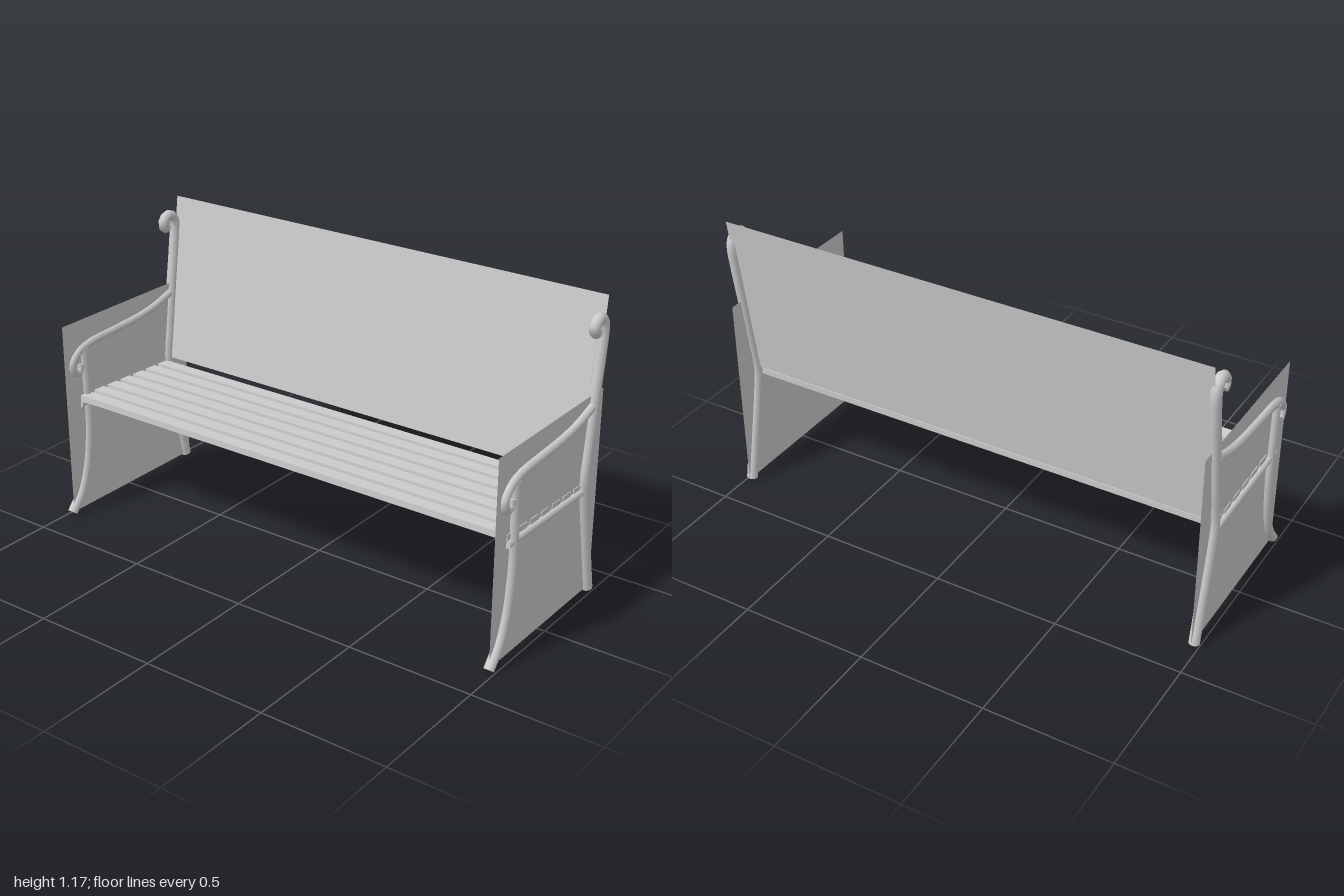
import * as THREE from 'three';
import { mergeGeometries } from 'three/addons/utils/BufferGeometryUtils.js';

const SIDE_X = 0.98;

// Smooth round bar through [z, y] points, closed at both ends
function bar(points, radius, segments) {
  const curve = new THREE.CatmullRomCurve3(points.map(([z, y]) => new THREE.Vector3(0, y, z)));
  const parts = [new THREE.TubeGeometry(curve, segments, radius, 10)];
  for (const t of [0, 1]) {
    const dir = curve.getTangentAt(t).multiplyScalar(t ? 1 : -1);
    const cap = new THREE.CircleGeometry(radius, 10);
    cap.applyQuaternion(new THREE.Quaternion().setFromUnitVectors(new THREE.Vector3(0, 0, 1), dir));
    const p = curve.getPointAt(t);
    cap.translate(p.x, p.y, p.z);
    parts.push(cap);
  }
  return mergeGeometries(parts);
}

export function createModel() {
  const bench = new THREE.Group();
  bench.name = 'bench';
  const grey = new THREE.MeshStandardMaterial({ color: 0xcccccc, side: THREE.DoubleSide });
  grey.name = 'light grey';

  const add = (name, geometry, parent = bench) => {
    const mesh = new THREE.Mesh(geometry, grey);
    mesh.name = name;
    parent.add(mesh);
    return mesh;
  };

  // Bars of one end frame, ending in scrolls at the back top and arm front
  const backPost = bar([
    [-0.35, 0.018], [-0.31, 0.21], [-0.27, 0.41], [-0.259, 0.5], [-0.277, 0.645], [-0.3, 0.815],
    [-0.323, 0.97], [-0.332, 1.06], [-0.322, 1.095], [-0.295, 1.108], [-0.27, 1.095],
    [-0.264, 1.07], [-0.282, 1.055],
  ], 0.0215, 60);
  const frontLeg = bar([
    [0.352, 0.02], [0.297, 0.09], [0.253, 0.21], [0.231, 0.38], [0.231, 0.49], [0.237, 0.7],
  ], 0.02, 30);
  const armrest = bar([
    [-0.28, 0.778], [-0.19, 0.75], [-0.09, 0.732], [0.08, 0.72], [0.2, 0.712], [0.265, 0.692],
    [0.304, 0.647], [0.286, 0.607], [0.263, 0.615], [0.257, 0.64],
  ], 0.018, 50);
  const seatRail = bar([[0.27, 0.47], [-0.25, 0.456]], 0.0145, 1);

  // Flat end panel in the plane of the frame
  const endPanel = new THREE.PlaneGeometry(0.717, 0.8);
  endPanel.rotateY(Math.PI / 2);
  endPanel.translate(0, 0.42, -0.0125);

  for (const side of [-1, 1]) {
    const frame = new THREE.Group();
    frame.name = side > 0 ? 'leftEndFrame' : 'rightEndFrame';
    frame.position.x = side * SIDE_X;
    bench.add(frame);
    add('backPost', backPost, frame);
    add('frontLeg', frontLeg, frame);
    add('armrest', armrest, frame);
    add('seatRail', seatRail, frame);
    add('endPanel', endPanel, frame).position.x = -side * 0.003;
  }

  // Seat slats, dropping slightly towards the back
  const slat = new THREE.BoxGeometry(2 * SIDE_X, 0.025, 0.055);
  for (let i = 0; i < 7; i++) {
    const mesh = add('seatSlat', slat);
    mesh.position.set(0, 0.494 - i * 0.0031, 0.241 - i * 0.0767);
    mesh.rotation.x = -0.04;
  }

  // Backrest sheet leaning backwards
  const rise = 0.675, lean = 0.095;
  const backrest = add('backrest', new THREE.PlaneGeometry(2 * SIDE_X, Math.hypot(rise, lean)));
  backrest.position.set(0, 0.5 + rise / 2, -0.26 - lean / 2);
  backrest.rotation.x = -Math.atan2(lean, rise);

  return bench;
}
